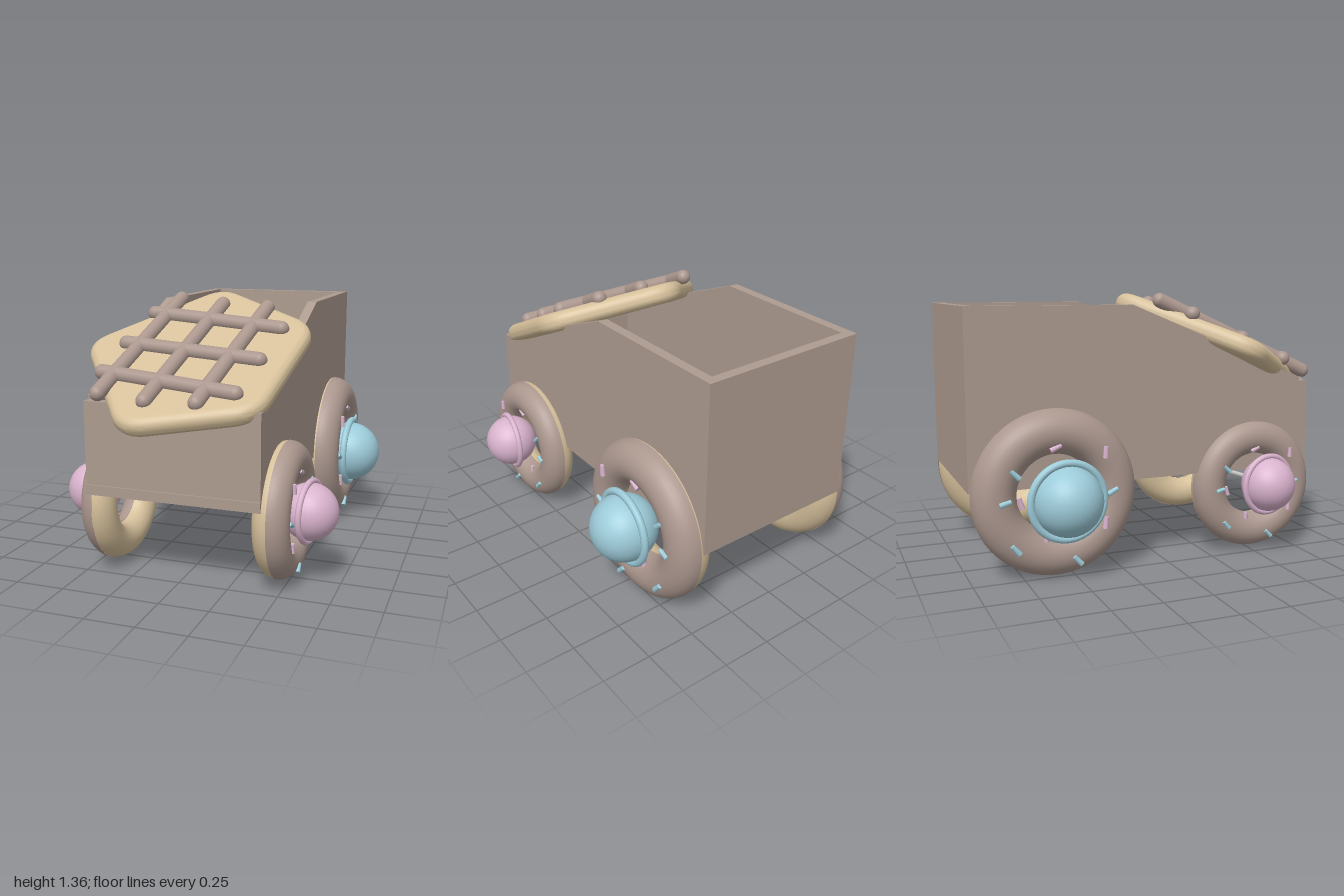
import * as THREE from 'three';
import { toCreasedNormals } from 'three/addons/utils/BufferGeometryUtils.js';

export function createModel() {
  const model = new THREE.Group();
  model.name = 'biscuitCart';

  const paint = (name, color) => {
    const m = new THREE.MeshStandardMaterial({ color });
    m.name = name;
    return m;
  };
  const chocolate = paint('milkChocolate', 0xad9b8f);
  const icing = paint('icingBrown', 0xab978e);
  const dough = paint('biscuitTan', 0xd6c09b);
  const blue = paint('candyBlue', 0x9dcbd9);
  const pink = paint('candyPink', 0xd9b3cd);
  const stick = paint('stickGrey', 0xcacac4);
  icing.side = dough.side = THREE.DoubleSide;

  const add = (parent, name, geo, mat, x = 0, y = 0, z = 0) => {
    const mesh = new THREE.Mesh(geo, mat);
    mesh.name = name;
    mesh.position.set(x, y, z);
    parent.add(mesh);
    return mesh;
  };

  // Rod between two points
  const rod = (parent, name, a, b, r, mat) => {
    const dir = b.clone().sub(a);
    const mesh = add(parent, name, new THREE.CylinderGeometry(r, r, dir.length(), 12), mat);
    mesh.position.copy(a).add(b).multiplyScalar(0.5);
    mesh.quaternion.setFromUnitVectors(new THREE.Vector3(0, 1, 0), dir.normalize());
  };

  // Open box body: floor, front, back and two sloping sides
  const body = new THREE.Group();
  body.name = 'body';
  model.add(body);
  add(body, 'floor', new THREE.BoxGeometry(0.88, 0.05, 1.845), chocolate, 0, 0.465, -0.0775);
  add(body, 'frontPanel', new THREE.BoxGeometry(0.88, 0.41, 0.05), chocolate, 0, 0.695, 0.812);
  add(body, 'backPanel', new THREE.BoxGeometry(0.88, 0.82, 0.05), chocolate, 0, 0.9, -0.975);
  const side = new THREE.Shape([
    [0.95, 0.49], [0.95, 1.31], [0.17, 1.31], [-0.787, 0.92], [-0.787, 0.49],
  ].map(([x, y]) => new THREE.Vector2(x, y)));
  for (const s of [-1, 1]) {
    const geo = new THREE.ExtrudeGeometry(side, { depth: 0.05, bevelEnabled: false });
    geo.rotateY(Math.PI / 2); // shape x becomes -z
    add(body, s > 0 ? 'leftPanel' : 'rightPanel', geo, chocolate, s * 0.415 - 0.025);
  }

  // Sprinkles on a wheel face: [z, y, angle, colour], in wheel radii
  const sprinkles = [
    [0.55, 0.49, 0.05, pink], [-0.04, 0.57, 1.15, pink], [0.55, -0.36, 0.1, pink],
    [-0.41, -0.1, -0.3, pink], [-0.16, -0.5, 0, pink],
    [0.64, 0.01, 1.1, blue], [-0.53, 0.3, -0.8, blue], [-0.65, -0.02, 1.3, blue],
    [-0.54, -0.57, -0.7, blue], [0.2, -0.78, -0.75, blue],
  ];

  // Half of a ring-shaped wheel, lathed about the axle; s is the side faced
  const halfRing = (R, t, a0, s) => {
    const pts = [];
    for (let i = 0; i <= 16; i++) {
      const a = a0 + (Math.PI * i) / 16;
      pts.push(new THREE.Vector2(R + t * Math.cos(a), t * Math.sin(a)));
    }
    return new THREE.LatheGeometry(pts, 56).rotateZ((-s * Math.PI) / 2);
  };

  const addWheel = (name, s, o) => {
    const wheel = new THREE.Group();
    wheel.name = name;
    wheel.position.set(o.x, o.y, o.z);
    model.add(wheel);
    const R = o.r - o.t;
    add(wheel, 'wheelIcing', halfRing(R, o.t, 0, s), icing);
    add(wheel, 'wheelDough', halfRing(R, o.t * 0.98, Math.PI, s), dough);

    // Round hub with a slightly tilted ring
    const [hx, hy, hz] = o.hub;
    add(wheel, 'hubBall', new THREE.SphereGeometry(o.ball, 36, 24), o.mat, s * hx, hy, hz);
    const ring = add(wheel, 'hubRing', new THREE.TorusGeometry(o.ring, o.ringTube, 12, 48), o.mat, s * hx, hy, hz);
    ring.rotation.y = Math.PI / 2 - s * o.tilt;

    for (const [z, y, angle, mat] of sprinkles) {
      const d = Math.hypot(z, y) * o.r - R;
      const h = Math.sqrt(Math.max(0, o.t * o.t - d * d));
      const geo = new THREE.CylinderGeometry(0.028 * o.r, 0.034 * o.r, 0.14 * o.r, 10);
      const m = add(wheel, 'sprinkle', geo, mat, s * (h + 0.004), y * o.r, z * o.r);
      m.rotation.x = angle;
    }
  };

  for (const s of [-1, 1]) {
    const label = s > 0 ? 'Left' : 'Right';
    addWheel('rear' + label + 'Wheel', s, {
      x: s * 0.448, y: 0.416, z: -0.585, r: 0.41, t: 0.11,
      hub: [0.127, -0.02, 0.03], ball: 0.17, ring: 0.184, ringTube: 0.019, tilt: 0.04, mat: blue,
    });
    addWheel('front' + label + 'Wheel', s, {
      x: s > 0 ? 0.467 : -0.41, y: 0.36, z: 0.515, r: 0.34, t: 0.09,
      hub: [0.133, 0.015, 0.035], ball: 0.14, ring: 0.148, ringTube: 0.015, tilt: 0.15, mat: pink,
    });

    // Short stick axles that stop before the middle
    rod(model, 'rear' + label + 'Axle',
      new THREE.Vector3(s * 0.038, 0.398, -0.57), new THREE.Vector3(s * 0.45, 0.4, -0.56), 0.016, stick);
    const inner = s > 0 ? 0.162 : -0.11;
    rod(model, 'front' + label + 'Axle',
      new THREE.Vector3(inner, 0.358, 0.54), new THREE.Vector3(inner + s * 0.3, 0.373, 0.55), 0.013, stick);
  }

  // Sloping five-sided biscuit lid; local y runs up the slope
  const slope = 0.443;
  const midZ = 0.455;
  const lid = new THREE.Group();
  lid.name = 'biscuitLid';
  lid.position.set(0, 1.07, midZ);
  lid.rotation.x = slope - Math.PI / 2;
  model.add(lid);
  const up = (z) => (midZ - z) / Math.cos(slope);

  const corners = [[-0.07, -0.13], [-0.635, 0.42], [-0.17, 1.025], [0.44, 0.855], [0.53, 0.19]]
    .map(([x, z]) => new THREE.Vector2(x, up(z)));
  const outline = new THREE.Shape();
  corners.forEach((c, i) => {
    const toward = (p) => p.clone().sub(c).setLength(0.13).add(c);
    const a = toward(corners[(i + 4) % 5]);
    const b = toward(corners[(i + 1) % 5]);
    if (i === 0) outline.moveTo(a.x, a.y);
    else outline.lineTo(a.x, a.y);
    outline.quadraticCurveTo(c.x, c.y, b.x, b.y);
  });
  outline.closePath();
  const slab = new THREE.ExtrudeGeometry(outline, {
    depth: 0.012, bevelThickness: 0.045, bevelSize: 0.05, bevelOffset: -0.05, bevelSegments: 8, curveSegments: 10,
  });
  add(lid, 'biscuit', toCreasedNormals(slab, 0.6), dough, 0, 0, -0.006);

  // Icing lattice: three bars each way, [x, z] of both ends
  const bars = [
    [-0.25, 0.04, -0.355, 0.87], [0, 0.08, -0.105, 0.9], [0.25, 0.1, 0.145, 0.89],
    [-0.36, 0.195, 0.39, 0.295], [-0.4, 0.465, 0.355, 0.55], [-0.42, 0.7, 0.32, 0.8],
  ];
  for (const [x0, z0, x1, z1] of bars) {
    const a = new THREE.Vector2(x0, up(z0 - 0.026));
    const d = new THREE.Vector2(x1, up(z1 - 0.026)).sub(a);
    const geo = new THREE.CapsuleGeometry(0.038, d.length() - 0.03, 8, 18);
    const bar = add(lid, 'latticeBar', geo, icing, a.x + d.x / 2, a.y + d.y / 2, 0.06);
    bar.rotation.z = d.angle() - Math.PI / 2;
  }

  return model;
}
